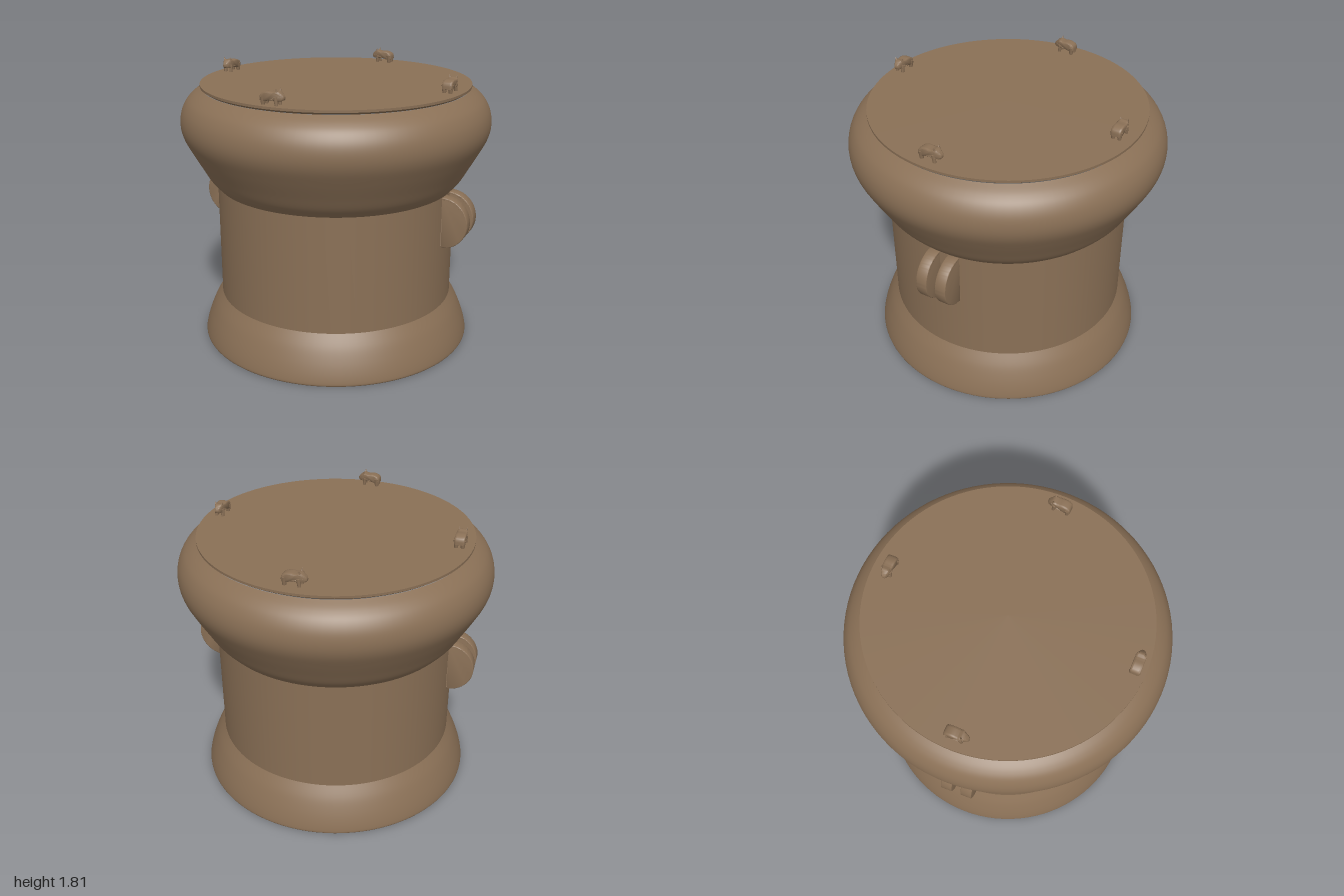
import * as THREE from 'three';
import { toCreasedNormals } from 'three/addons/utils/BufferGeometryUtils.js';

const bronze = new THREE.MeshStandardMaterial({ color: 0x8a7056 });
bronze.name = 'bronze';

const v2 = (p) => new THREE.Vector2(p[0], p[1]);

function add(parent, name, geometry, x = 0, y = 0, z = 0) {
  const mesh = new THREE.Mesh(geometry, bronze);
  mesh.name = name;
  mesh.position.set(x, y, z);
  parent.add(mesh);
  return mesh;
}

const lathe = (points) => new THREE.LatheGeometry(points, 96);
const smooth = (points, n) => new THREE.SplineCurve(points.map(v2)).getPoints(n);

// D-shaped strap handle: half ellipse outside, hollow inside, thin flat back
function handleGeometry() {
  const shape = new THREE.Shape();
  shape.moveTo(-0.01, -0.167);
  shape.absellipse(0, 0, 0.162, 0.167, -Math.PI / 2, Math.PI / 2, false);
  shape.lineTo(-0.01, 0.167);
  shape.closePath();
  const hole = new THREE.Path();
  hole.absellipse(0, 0, 0.144, 0.15, -Math.PI / 2, Math.PI / 2, false);
  hole.closePath();
  shape.holes.push(hole);
  const g = new THREE.ExtrudeGeometry(shape, {
    depth: 0.066, curveSegments: 28,
    bevelEnabled: true, bevelSize: 0.004, bevelThickness: 0.004, bevelOffset: -0.004, bevelSegments: 2,
  });
  g.translate(0, 0, -0.033);
  return toCreasedNormals(g, 0.9);
}

// Small standing animal, facing +x, feet on y = 0
function makeAnimal() {
  const animal = new THREE.Group();
  animal.name = 'rimAnimal';

  // Arched torso and head, narrowed towards the nose
  const outline = smooth([
    [-0.09, 0.03], [-0.085, 0.058], [-0.05, 0.072], [-0.01, 0.07], [0.015, 0.076],
    [0.036, 0.062], [0.047, 0.046], [0.04, 0.036], [0.015, 0.034], [-0.03, 0.036],
    [-0.07, 0.026], [-0.09, 0.03],
  ], 44);
  outline.pop();
  const torso = new THREE.ExtrudeGeometry(new THREE.Shape(outline), {
    depth: 0.036, bevelEnabled: true, bevelSize: 0.007, bevelThickness: 0.014, bevelSegments: 4,
  });
  torso.translate(0, 0, -0.018);
  const pos = torso.attributes.position;
  for (let i = 0; i < pos.count; i++) {
    const t = THREE.MathUtils.clamp((pos.getX(i) - 0.005) / 0.05, 0, 1);
    pos.setZ(i, pos.getZ(i) * (1 - 0.65 * t));
  }
  torso.computeVertexNormals();
  add(animal, 'torso', toCreasedNormals(torso, 1));

  // Legs and ears, mirrored
  for (const side of [-1, 1]) {
    const front = add(animal, 'frontLeg', new THREE.CylinderGeometry(0.013, 0.01, 0.05, 10), 0.008, 0.024, side * 0.021);
    front.rotation.z = 0.12;
    add(animal, 'hindLeg', new THREE.CylinderGeometry(0.018, 0.011, 0.05, 10), -0.078, 0.024, side * 0.02);
    const ear = add(animal, 'ear', new THREE.ConeGeometry(0.012, 0.032, 8), 0.013, 0.083, side * 0.022);
    ear.rotation.x = side * 0.3;
  }
  return animal;
}

export function createModel() {
  const model = new THREE.Group();
  model.name = 'bronzeDrum';

  // Flared foot with a closed base
  add(model, 'base', lathe([[0, 0], [0.895, 0]].map(v2)));
  add(model, 'foot', lathe(smooth([
    [0.895, 0], [0.9, 0.015], [0.888, 0.07], [0.864, 0.14], [0.828, 0.22], [0.78, 0.3],
  ], 24)));

  // Straight waist
  add(model, 'waist', lathe([[0.78, 0.3], [0.78, 1.06]].map(v2)));

  // Bulging shoulder
  add(model, 'shoulder', lathe(smooth([
    [0.78, 1.055], [0.833, 1.115], [0.883, 1.2], [0.94, 1.3], [0.985, 1.39], [1, 1.465],
    [0.99, 1.54], [0.958, 1.605], [0.912, 1.65], [0.855, 1.685],
  ], 48)));

  // Thin overhanging drumhead
  add(model, 'rimUnderside', lathe([[0.85, 1.685], [0.868, 1.698]].map(v2)));
  add(model, 'rim', lathe([[0.868, 1.698], [0.868, 1.713]].map(v2)));
  add(model, 'drumhead', lathe([[0.868, 1.713], [0, 1.713]].map(v2)));

  // Pair of strap handles on each side
  const strap = handleGeometry();
  for (const side of [0, Math.PI]) {
    const handles = new THREE.Group();
    handles.name = side ? 'rightHandles' : 'leftHandles';
    handles.rotation.y = side;
    for (const z of [-0.067, 0.067]) add(handles, 'strapHandle', strap, 0.778, 0.885, z);
    model.add(handles);
  }

  // Four animals walking round the drumhead: x, z, heading
  const places = [
    [0, 0.805, -0.05],
    [0.78, 0.02, Math.PI / 2 - 0.05],
    [0, -0.765, Math.PI - 0.05],
    [-0.785, 0.02, -Math.PI / 2 - 0.05],
  ];
  for (const [x, z, heading] of places) {
    const animal = makeAnimal();
    animal.position.set(x, 1.712, z);
    animal.rotation.y = heading;
    model.add(animal);
  }
  return model;
}
